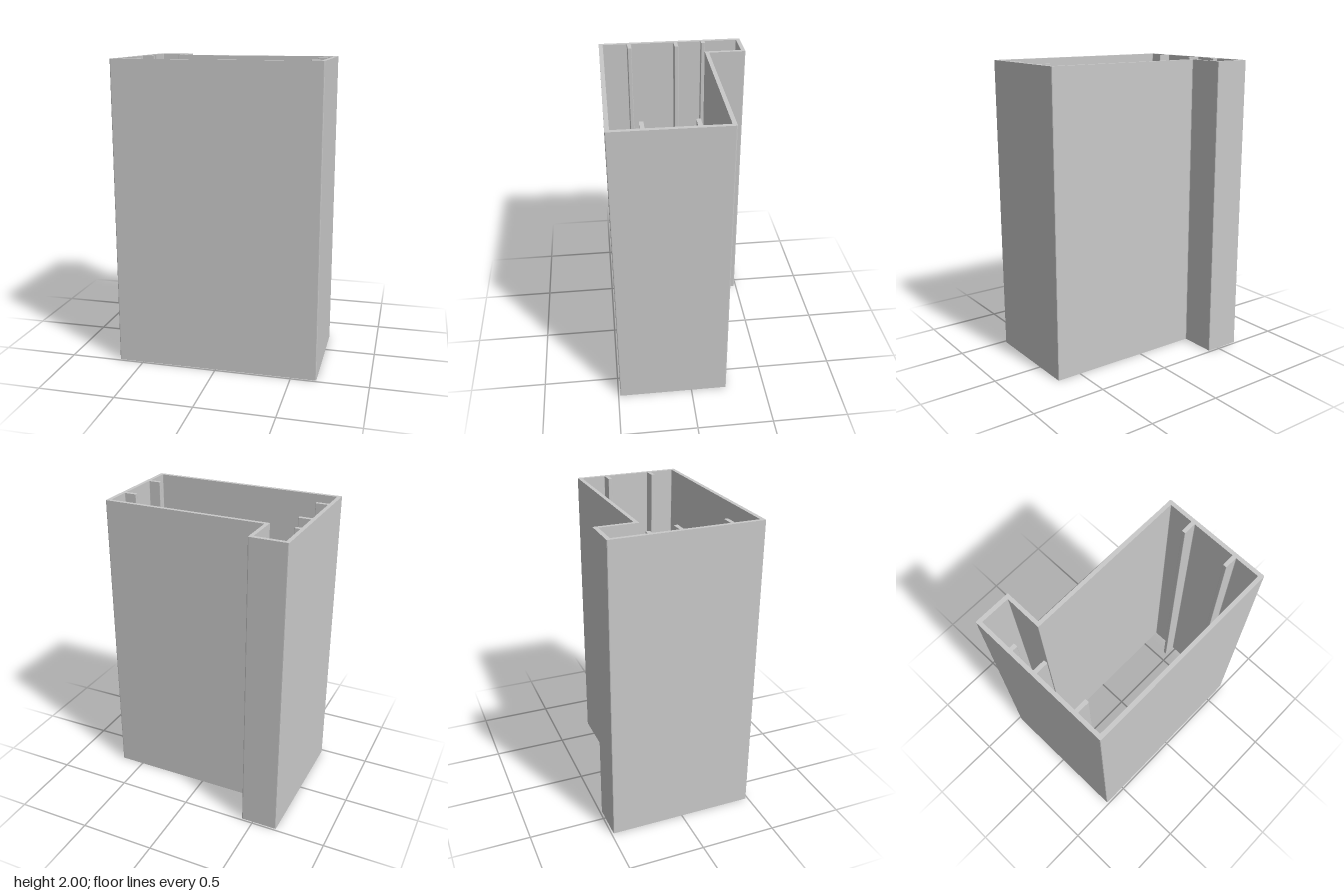
import * as THREE from 'three';

const HEIGHT = 2;

// Traces [x, z] corners into a path, easing each corner with a tiny radius.
function trace(path, corners, radius) {
  const points = corners.map(([x, z]) => new THREE.Vector2(x, -z));
  const n = points.length;
  points.forEach((p, i) => {
    const toward = (q) => p.clone().add(q.clone().sub(p).setLength(radius));
    const a = toward(points[(i + n - 1) % n]);
    const b = toward(points[(i + 1) % n]);
    if (i === 0) path.moveTo(a.x, a.y);
    else path.lineTo(a.x, a.y);
    path.quadraticCurveTo(p.x, p.y, b.x, b.y);
  });
  path.closePath();
  return path;
}

// Corners of a rib that juts from a side wall to x = tip, running from z0 to z1.
const rib = (wall, tip, z0, z1) => [[wall, z0], [tip, z0], [tip, z1], [wall, z1]];

export function createModel() {
  const group = new THREE.Group();
  const grey = new THREE.MeshStandardMaterial({ color: 0xc9c9c9 });
  grey.name = 'grey';

  // Outer wall, counter-clockwise: a rectangle with a narrow channel at the back right
  const section = trace(new THREE.Shape(), [
    [-0.665, 0.486], [0.665, 0.486], [0.665, -0.239],
    [-0.42, -0.239], [-0.42, -0.486], [-0.665, -0.486],
  ], 0.007);

  // Inner wall, clockwise, interrupted by the guide ribs on both sides
  const left = 0.639, right = -0.639;
  section.holes.push(trace(new THREE.Path(), [
    [right, -0.459], [-0.445, -0.459], [-0.445, -0.213], [left, -0.213],
    ...rib(left, 0.556, -0.05, -0.024),
    ...rib(left, 0.556, 0.268, 0.294),
    [left, 0.459], [right, 0.459],
    ...rib(right, -0.557, 0.294, 0.268),
    ...rib(right, -0.557, -0.024, -0.05),
    ...rib(right, -0.604, -0.213, -0.239),
  ], 0.004));

  const geometry = new THREE.ExtrudeGeometry(section, {
    depth: HEIGHT, bevelEnabled: false, curveSegments: 3,
  });
  geometry.rotateX(-Math.PI / 2);

  const profile = new THREE.Mesh(geometry, grey);
  profile.name = 'hollowProfile';
  group.add(profile);
  return group;
}
